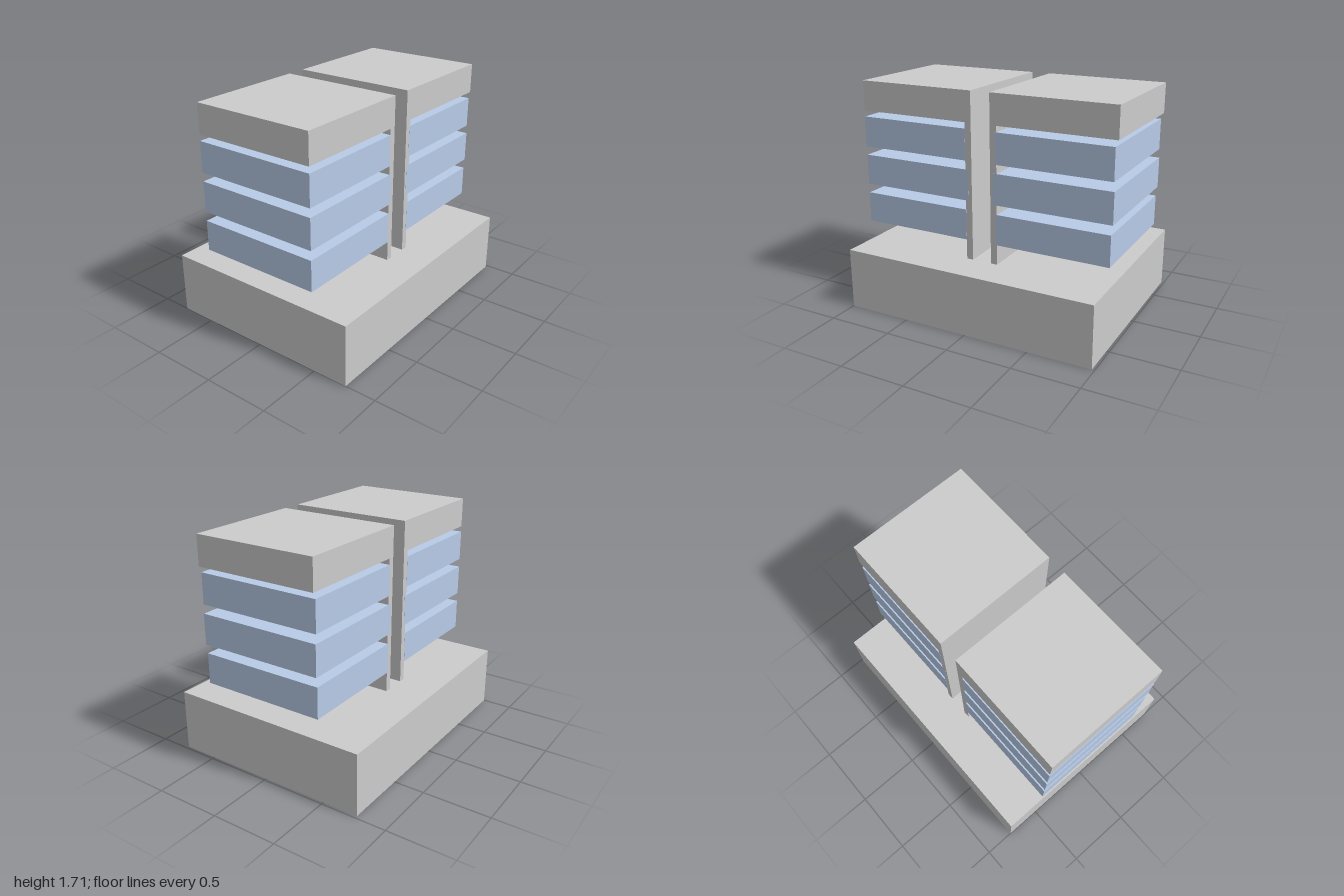
import * as THREE from 'three';

const grey = new THREE.MeshStandardMaterial({ color: 0xcccccc, flatShading: true });
const blue = new THREE.MeshStandardMaterial({ color: 0xb8cbe8, flatShading: true });

// Depth range shared by both towers
const BACK = -0.46, FRONT = 0.49;

function box(name, material, [x0, x1], [y0, y1], [z0, z1]) {
  const mesh = new THREE.Mesh(new THREE.BoxGeometry(x1 - x0, y1 - y0, z1 - z0), material);
  mesh.position.set((x0 + x1) / 2, (y0 + y1) / 2, (z0 + z1) / 2);
  mesh.name = name;
  return mesh;
}

// Upright wall and overhanging roof as one L-shaped extrusion
function frame(name, inner, wallOuter, roofOuter) {
  const outline = [
    [inner, 0.465], [wallOuter, 0.465], [wallOuter, 1.485],
    [roofOuter, 1.485], [roofOuter, 1.71], [inner, 1.71],
  ].map(([x, y]) => new THREE.Vector2(x, y));
  const geometry = new THREE.ExtrudeGeometry(new THREE.Shape(outline), { depth: FRONT - BACK, bevelEnabled: false });
  const mesh = new THREE.Mesh(geometry, grey);
  mesh.position.z = BACK;
  mesh.name = name;
  return mesh;
}

export function createModel() {
  const model = new THREE.Group();
  model.name = 'twinTowerBuilding';

  model.add(box('base', grey, [-1, 0.98], [0, 0.465], [-0.77, 0.765]));

  // Each tower: a frame and three glazed floors, listed from the bottom up
  const floorHeights = [[0.615, 0.845], [0.915, 1.145], [1.21, 1.44]];
  const towers = [
    { side: 'right', frame: [-0.08, -0.13, -1], floors: [[-1, -0.13], [-1, -0.11], [-1, -0.13]] },
    { side: 'left', frame: [0.07, 0.12, 1], floors: [[0.11, 0.975], [0.09, 0.985], [0.11, 0.98]] },
  ];
  for (const tower of towers) {
    const group = new THREE.Group();
    group.name = `${tower.side}Tower`;
    group.add(frame(`${tower.side}WallAndRoof`, ...tower.frame));
    // Floors stand a hair proud of the wall ends they overlap
    tower.floors.forEach((x, i) => {
      group.add(box(`${tower.side}Floor${i + 1}`, blue, x, floorHeights[i], [BACK - 0.001, FRONT + 0.001]));
    });
    model.add(group);
  }
  return model;
}
